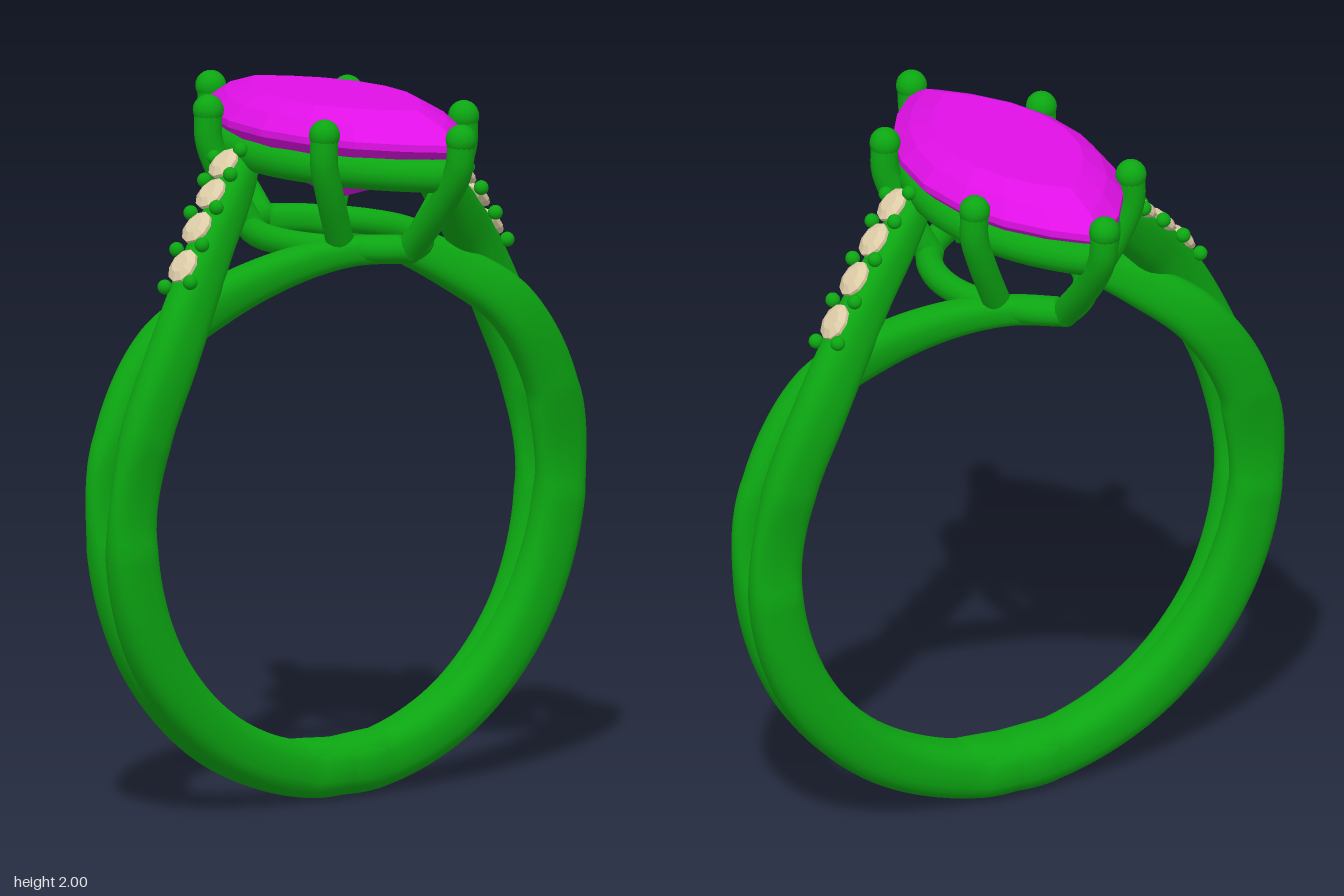
import * as THREE from 'three';

const V = (x, y, z) => new THREE.Vector3(x, y, z);
const metal = new THREE.MeshStandardMaterial({ color: 0x0ca612 });
const magenta = new THREE.MeshStandardMaterial({ color: 0xe010e6, flatShading: true });
const cream = new THREE.MeshStandardMaterial({ color: 0xdccba6, flatShading: true });

function add(parent, name, geometry, material = metal) {
  const mesh = new THREE.Mesh(geometry, material);
  mesh.name = name;
  parent.add(mesh);
  return mesh;
}

const tube = (points, r, closed = false) =>
  new THREE.TubeGeometry(new THREE.CatmullRomCurve3(points, closed), closed ? 96 : 28, r, 14, closed);

function ball(parent, name, p, r) {
  add(parent, name, new THREE.SphereGeometry(r, 16, 12)).position.copy(p);
}

// Pointed oval outline: half length 1 along z, built from two arcs
function marquise(angle, halfX, halfZ) {
  const R = (halfZ * halfZ + halfX * halfX) / (2 * halfX);
  const z = halfZ * Math.sin(angle);
  const x = Math.sqrt(R * R - z * z) - (R - halfX);
  return [Math.cos(angle) < 0 ? -x : x, z];
}

// Sweep a soft-cornered section along rows of [x, y, z, radial half, lateral half]
function sweep(rows, steps = 110, sides = 24) {
  const path = new THREE.CatmullRomCurve3(rows.map(r => V(r[0], r[1], r[2])));
  const size = new THREE.CatmullRomCurve3(rows.map(r => V(r[3], r[4], 0)));
  const pos = [], index = [];
  const soft = v => Math.sign(v) * Math.abs(v) ** 0.8;
  for (let i = 0; i <= steps; i++) {
    const t = i / steps, p = path.getPoint(t), s = size.getPoint(t), T = path.getTangent(t);
    const N = V(p.x, p.y - 0.85, 0);
    N.addScaledVector(T, -N.dot(T)).normalize();
    const B = T.clone().cross(N);
    const k = i === steps ? 0.01 : 1;
    for (let j = 0; j < sides; j++) {
      const a = (j / sides) * Math.PI * 2;
      const q = p.clone().addScaledVector(N, k * s.x * soft(Math.cos(a)))
        .addScaledVector(B, k * s.y * soft(Math.sin(a)));
      pos.push(q.x, q.y, q.z);
      if (i < steps) {
        const b = i * sides + j, c = i * sides + (j + 1) % sides;
        index.push(b, c, b + sides, c, c + sides, b + sides);
      }
    }
  }
  const g = new THREE.BufferGeometry();
  g.setAttribute('position', new THREE.Float32BufferAttribute(pos, 3));
  g.setIndex(index);
  g.computeVertexNormals();
  return g;
}

// Lower part of a strand, by degrees from the bottom of the ring
function shank(side) {
  return [[-12, 0, 0.083], [10, 0.002, 0.083], [35, 0.012, 0.073], [60, 0.027, 0.06], [85, 0.042, 0.052], [108, 0.055, 0.052]]
    .map(([deg, z, b]) => {
      const a = deg * Math.PI / 180;
      return [0.77 * Math.sin(a), 0.85 - 0.77 * Math.cos(a), side * z, 0.08, b];
    });
}

// One half of the split band: a jewelled strand and a plain one crossing under it
function halfBand() {
  const half = new THREE.Group();
  add(half, 'jewelledStrand', sweep([...shank(-1),
    [0.635, 1.325, -0.06, 0.08, 0.055], [0.51, 1.52, -0.02, 0.075, 0.055], [0.42, 1.612, 0.03, 0.07, 0.052],
    [0.33, 1.69, 0.08, 0.065, 0.05], [0.25, 1.76, 0.13, 0.06, 0.048], [0.19, 1.81, 0.17, 0.045, 0.04]]));
  add(half, 'plainStrand', sweep([...shank(1),
    [0.585, 1.335, 0.055, 0.075, 0.055], [0.43, 1.455, -0.01, 0.065, 0.055], [0.26, 1.55, -0.12, 0.052, 0.05],
    [0.12, 1.595, -0.23, 0.042, 0.042], [0, 1.6, -0.32, 0.04, 0.04]]));

  // Small stones with holding beads on the outer face of the strand
  const row = new THREE.CatmullRomCurve3([
    V(0.61, 1.515, -0.045), V(0.565, 1.572, -0.018), V(0.475, 1.665, 0.032),
    V(0.385, 1.745, 0.082), V(0.3, 1.815, 0.13), V(0.26, 1.845, 0.155)]);
  const profile = [[0, -0.045], [0.05, -0.006], [0.05, 0.004], [0.028, 0.016], [0, 0.016]]
    .map(p => new THREE.Vector2(...p));
  const frame = t => {
    const T = row.getTangent(t), N = V(0.68, 0.73, 0);
    N.addScaledVector(T, -N.dot(T)).normalize();
    return [T, N, T.clone().cross(N)];
  };
  for (let i = 1; i <= 4; i++) {
    const [T, N, B] = frame(i / 5);
    const stone = add(half, 'smallStone', new THREE.LatheGeometry(profile, 10), cream);
    stone.quaternion.setFromRotationMatrix(new THREE.Matrix4().makeBasis(T, N, B));
    stone.scale.set(1.1, 1, 0.92);
    stone.position.copy(row.getPoint(i / 5));
  }
  for (const t of [0.04, 0.3, 0.5, 0.7, 0.94]) {
    const B = frame(t)[2];
    for (const s of [-1, 1]) ball(half, 'bead', row.getPoint(t).addScaledVector(B, s * 0.045), 0.021);
  }
  return half;
}

export function createModel() {
  const ring = new THREE.Group();
  ring.name = 'ring';

  // The two halves are the same part turned half way round
  for (const [i, name] of ['leftBand', 'rightBand'].entries()) {
    const half = halfBand();
    half.name = name;
    half.rotation.y = i * Math.PI;
    ring.add(half);
  }

  // Gallery rail below the stone and small base rail
  const rail = (hx, hz, y) => Array.from({ length: 24 }, (_, i) => {
    const [x, z] = marquise((i / 24) * Math.PI * 2, hx, hz);
    return V(x, y, z);
  });
  const setting = new THREE.Group();
  setting.name = 'setting';
  ring.add(setting);
  add(setting, 'galleryRail', tube(rail(0.21, 0.49, 1.83), 0.048, true));
  add(setting, 'baseRail', tube(rail(0.2, 0.33, 1.6), 0.038, true));

  // Six prongs: one at each tip, two on each flank
  const prong = points => {
    add(setting, 'prong', tube(points, 0.04));
    ball(setting, 'prongTip', points[0], 0.044);
    ball(setting, 'prongFoot', points[points.length - 1], 0.04);
  };
  for (const sz of [-1, 1]) {
    prong([V(0, 1.943, sz * 0.56), V(0, 1.86, sz * 0.55), V(0, 1.76, sz * 0.485), V(0, 1.6, sz * 0.33)]);
    for (const sx of [-1, 1]) {
      prong([V(sx * 0.25, 1.943, sz * 0.26), V(sx * 0.25, 1.86, sz * 0.258),
        V(sx * 0.22, 1.77, sz * 0.245), V(sx * 0.14, 1.6, sz * 0.2)]);
    }
  }

  // Main stone: a faceted turned form pressed into a pointed oval
  const cut = [[0, 1.7], [0.55, 1.79], [1, 1.905], [1, 1.925], [0.86, 1.967], [0.66, 2], [0, 2]]
    .map(p => new THREE.Vector2(...p));
  const gem = new THREE.LatheGeometry(cut, 20);
  const p = gem.attributes.position;
  for (let i = 0; i < p.count; i++) {
    const r = Math.hypot(p.getX(i), p.getZ(i));
    const [x, z] = marquise(Math.atan2(p.getZ(i), p.getX(i)), 0.27, 0.55);
    p.setXYZ(i, x * r, p.getY(i), z * r);
  }
  gem.computeVertexNormals();
  add(ring, 'mainStone', gem, magenta);

  return ring;
}
